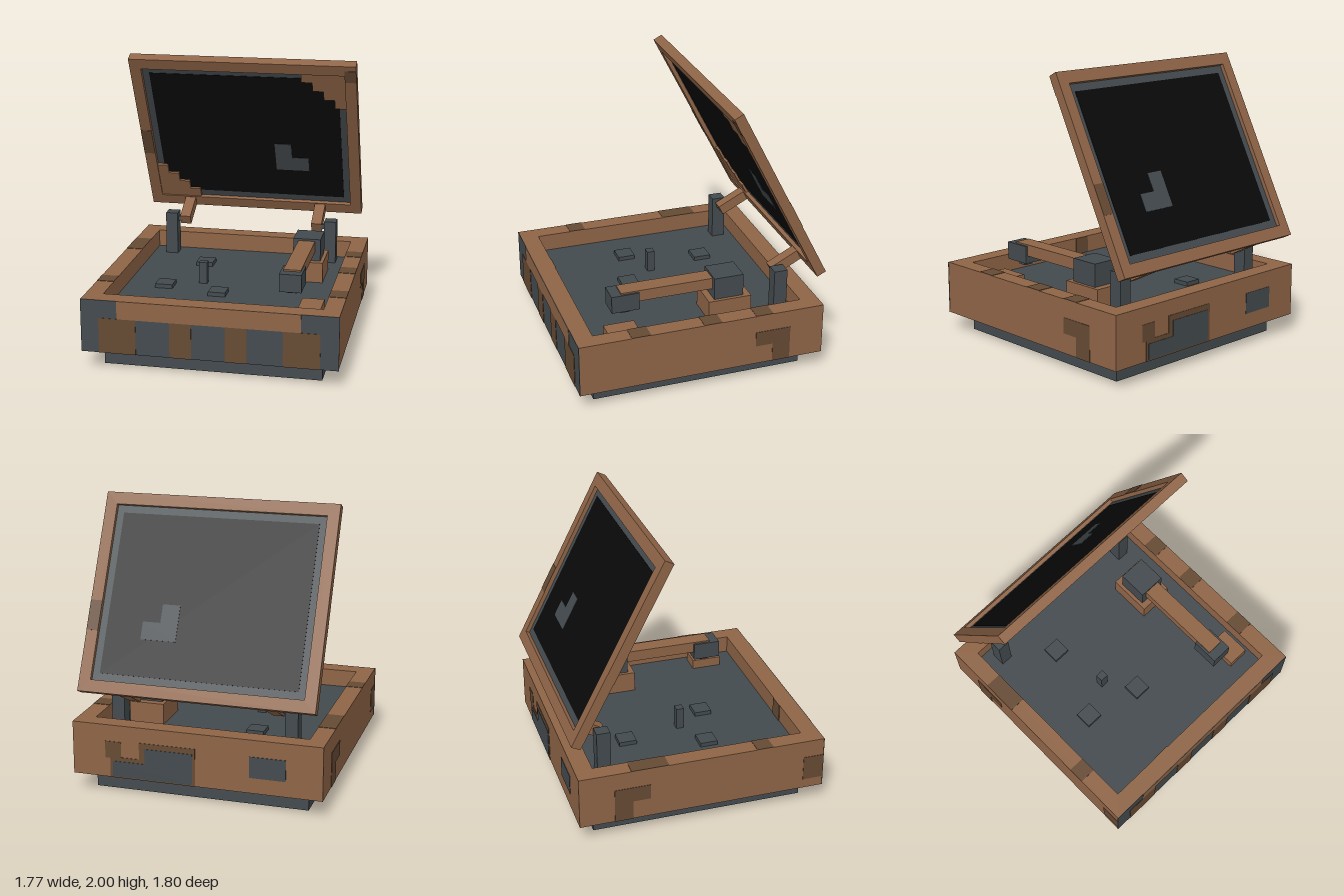
import * as THREE from 'three';

const mat = (name, color) => {
  const m = new THREE.MeshStandardMaterial({ color });
  m.name = name;
  return m;
};

export function createModel() {
  const brown = mat('wood brown', 0x8e6446);
  const dark = mat('dark wood', 0x654a33);
  const grey = mat('slate grey', 0x434a4e);
  const black = mat('black', 0x0a0a0a);
  const model = new THREE.Group();
  model.name = 'recordPlayer';

  const add = (parent, name, geometry, material) => {
    const mesh = new THREE.Mesh(geometry, material);
    mesh.name = name;
    parent.add(mesh);
    return mesh;
  };
  // Box given by its minimum and maximum on each axis
  const box = (parent, name, material, x0, x1, y0, y1, z0, z1) => {
    const mesh = add(parent, name, new THREE.BoxGeometry(x1 - x0, y1 - y0, z1 - z0), material);
    mesh.position.set((x0 + x1) / 2, (y0 + y1) / 2, (z0 + z1) / 2);
    return mesh;
  };
  // Flat outline in x and y, extruded along z from z0
  const slab = (parent, name, material, points, z0, depth, hole) => {
    const shape = new THREE.Shape(points.map(p => new THREE.Vector2(...p)));
    if (hole) shape.holes.push(new THREE.Path(hole.map(p => new THREE.Vector2(...p))));
    const mesh = add(parent, name, new THREE.ExtrudeGeometry(shape, { depth, bevelEnabled: false }), material);
    mesh.position.z = z0;
    return mesh;
  };
  const rect = (x0, x1, y0, y1) => [[x0, y0], [x1, y0], [x1, y1], [x0, y1]];

  // Case: plinth with the deck on top, and four walls around it
  const W = 0.882, F = 0.897, B = -0.867, T = 0.508, t = 0.003;
  const body = new THREE.Group();
  body.name = 'case';
  model.add(body);
  box(body, 'plinth', grey, -0.76, 0.76, 0, 0.38, -0.745, 0.775);
  const walls = slab(body, 'caseWalls', brown, rect(-W, W, -F, -B), 0.13, T - 0.13, rect(-0.76, 0.76, -0.77, 0.74));
  walls.rotation.x = -Math.PI / 2;
  walls.position.set(0, 0.13, 0);

  // Front: grey face, brown top band, dark stripes
  box(body, 'frontFace', grey, -W - t, W + t, 0.13, T, F, F + t);
  box(body, 'frontBand', brown, -0.63, 0.63, 0.38, T, F + t, F + 2 * t);
  for (const [a, b] of [[-0.76, -0.5], [-0.265, -0.115], [0.115, 0.265], [0.51, 0.76]])
    box(body, 'frontStripe', dark, a, b, 0.13, 0.38, F + t, F + 2 * t);

  // Dark patches on the rim
  for (const [s, a, b] of [[-1, -0.5, -0.235], [-1, 0.4, 0.52], [1, -0.49, -0.365], [1, -0.115, 0.015], [1, 0.395, 0.53]])
    box(body, 'rimPatch', dark, s > 0 ? 0.76 : -W, s > 0 ? W : -0.76, T, T + t, a, b);
  box(body, 'innerWallPatch', dark, -0.37, -0.25, 0.38, T, 0.765, 0.77);

  // Dark patches on the sides
  for (const s of [-1, 1]) {
    const x0 = s > 0 ? W : -W - t;
    box(body, 'sidePatchUpper', dark, x0, x0 + t, 0.27, 0.38, -0.62, -0.365);
    box(body, 'sidePatchLower', dark, x0, x0 + t, 0.13, 0.27, -0.62, -0.49);
  }
  box(body, 'sideCornerPatch', dark, -W - t, -W, 0.2, 0.38, 0.75, F);

  // Back: dark-edged notched grey patch and a small grey one
  slab(body, 'backPatchEdge', dark,
    [[0, 0.13], [0.61, 0.13], [0.61, 0.27], [0.645, 0.27], [0.645, 0.39], [0.53, 0.39], [0.53, 0.28], [0.4, 0.28], [0.4, 0.4], [0, 0.4]],
    B - t, t);
  slab(body, 'backPatch', grey,
    [[0.02, 0.14], [0.59, 0.14], [0.59, 0.25], [0.36, 0.25], [0.36, 0.36], [0.02, 0.36]],
    B - 2 * t, t);
  box(body, 'backSmallPatch', grey, -0.63, -0.38, 0.24, 0.39, B - t, B);

  // Deck fittings
  for (const [x, z] of [[-0.475, 0.17], [-0.065, 0.265], [-0.297, -0.375]])
    box(model, 'deckPad', grey, x - 0.063, x + 0.063, 0.38, 0.41, z - 0.063, z + 0.063);
  box(model, 'spindle', grey, -0.25, -0.19, 0.38, 0.54, 0.02, 0.075);
  box(model, 'controlBlock', brown, 0.565, 0.72, 0.38, 0.45, 0.42, 0.64);

  // Tone arm
  const arm = new THREE.Group();
  arm.name = 'toneArm';
  model.add(arm);
  box(arm, 'armBase', brown, 0.38, 0.63, 0.38, 0.53, -0.425, -0.11);
  box(arm, 'armPivot', grey, 0.405, 0.605, 0.53, 0.693, -0.373, -0.157);
  box(arm, 'armBar', brown, 0.443, 0.565, 0.595, 0.678, -0.16, 0.508);
  box(arm, 'armHead', grey, 0.425, 0.58, 0.54, 0.667, 0.38, 0.58);
  box(arm, 'stylus', grey, 0.47, 0.54, 0.51, 0.54, 0.44, 0.505);

  // Hinge posts and axles
  for (const s of [-1, 1]) {
    const post = box(model, 'hingePost', grey, 0.572, 0.663, 0.38, 0.703, -0.68, -0.583);
    const axle = box(model, 'hingeAxle', grey, 0.54, 0.58, 0.635, 0.67, -0.65, -0.615);
    post.position.x *= s;
    axle.position.x *= s;
  }

  // Lid, hinged along its lower front edge
  const lid = new THREE.Group();
  lid.name = 'lid';
  lid.position.set(0, 0.71, -0.832);
  lid.rotation.x = 0.475;
  model.add(lid);
  slab(lid, 'lidFrame', brown, rect(-0.828, 0.828, 0, 1.41), -0.07, 0.07, rect(-0.745, 0.745, 0.085, 1.325));
  box(lid, 'lidPanel', grey, -0.745, 0.745, 0.085, 1.325, -0.041, -0.029);
  for (const [z0, zp] of [[-0.029, -0.026], [-0.044, -0.047]]) {
    box(lid, 'lidWindow', black, -0.695, 0.695, 0.138, 1.272, z0, z0 + t);
    slab(lid, 'windowPatch', grey,
      [[0.19, 0.393], [0.44, 0.393], [0.44, 0.517], [0.315, 0.517], [0.315, 0.646], [0.19, 0.646]], zp, t);
  }

  // Stepped corner pieces at two opposite corners of the lid front
  const steps = [[0.43, 1.325]];
  for (let i = 0; i < 4; i++) {
    const y = 1.325 - 0.0765 * (i + 1);
    steps.push([0.43 + 0.078 * i, y], [i < 3 ? 0.43 + 0.078 * (i + 1) : 0.745, y]);
  }
  steps.push([0.745, 1.325]);
  slab(lid, 'upperCornerSteps', brown, steps, -0.029, 0.02);
  slab(lid, 'lowerCornerSteps', brown, steps.map(([x, y]) => [-x, 1.41 - y]), -0.029, 0.02);

  // Dark patches on the lid frame
  box(lid, 'lidPatch', dark, -0.828, -0.745, 0.517, 0.742, 0, t);
  box(lid, 'lidPatch', dark, 0.745, 0.828, 1.27, 1.37, 0, t);
  box(lid, 'lidBackPatch', dark, 0.745, 0.828, 0.425, 0.635, -0.07 - t, -0.07);

  // Hinge arms reaching from the lid to the posts
  for (const x of [-0.515, 0.51])
    box(lid, 'hingeArm', brown, x - 0.04, x + 0.04, 0.002, 0.078, 0, 0.222);

  return model;
}
